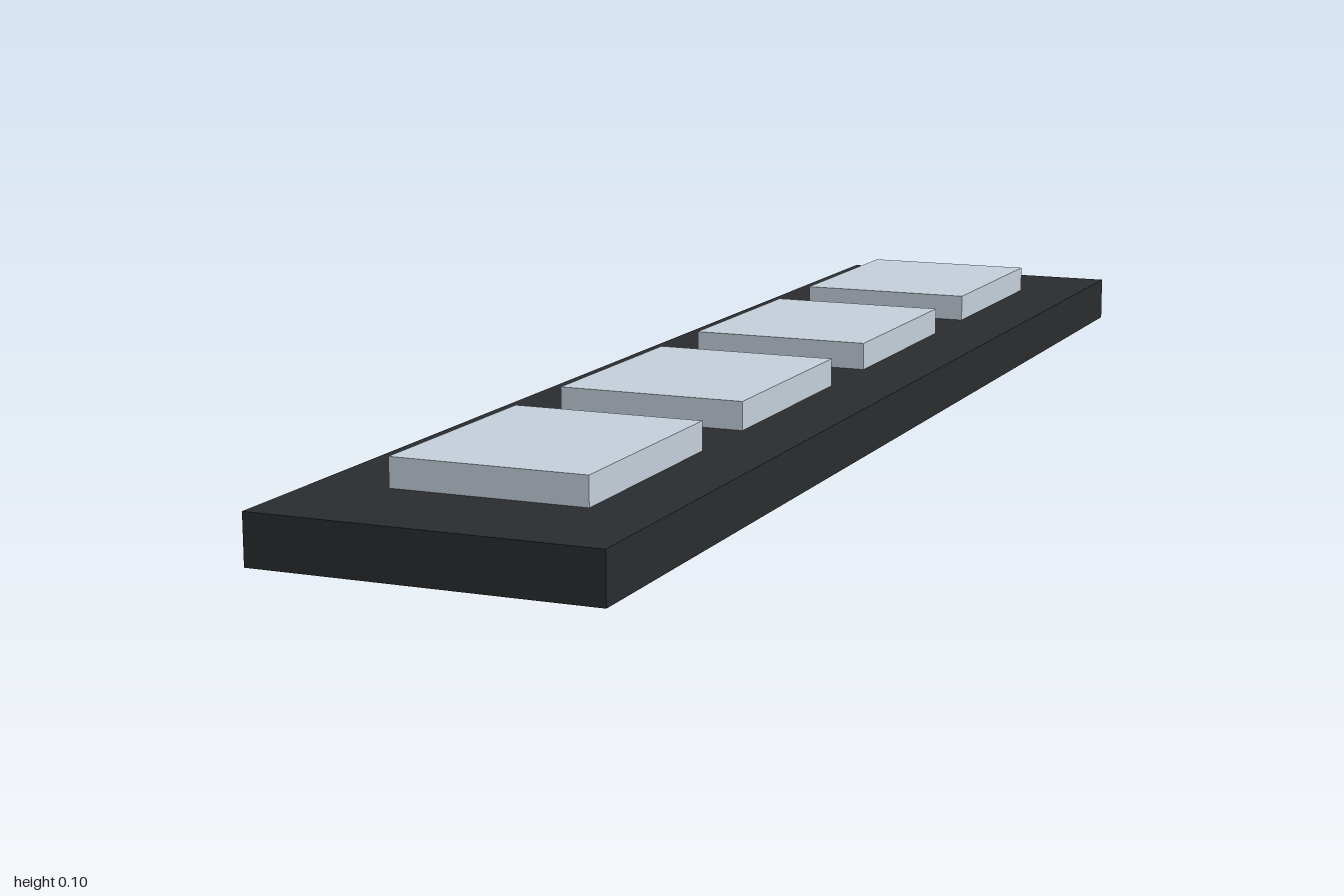
import * as THREE from 'three';

const PAD_COUNT = 4;
const PAD_SPACING = 0.4516;
const BASE_HEIGHT = 0.0655;
const PAD_HEIGHT = 0.038;

function box(name, width, height, depth, color) {
  const mesh = new THREE.Mesh(
    new THREE.BoxGeometry(width, height, depth),
    new THREE.MeshStandardMaterial({ color })
  );
  mesh.name = name;
  return mesh;
}

export function createModel() {
  const model = new THREE.Group();
  model.name = 'padStrip';

  // Long dark base slab
  const base = box('base', 0.4516, BASE_HEIGHT, 2, 0x292b2e);
  base.position.y = BASE_HEIGHT / 2;
  model.add(base);

  // Row of pale raised pads, evenly spaced along the slab
  for (let i = 0; i < PAD_COUNT; i++) {
    const pad = box(`pad${i + 1}`, 0.258, PAD_HEIGHT, 0.3226, 0xc3ced8);
    pad.position.set(0, BASE_HEIGHT + PAD_HEIGHT / 2, (i - (PAD_COUNT - 1) / 2) * PAD_SPACING);
    model.add(pad);
  }

  return model;
}
